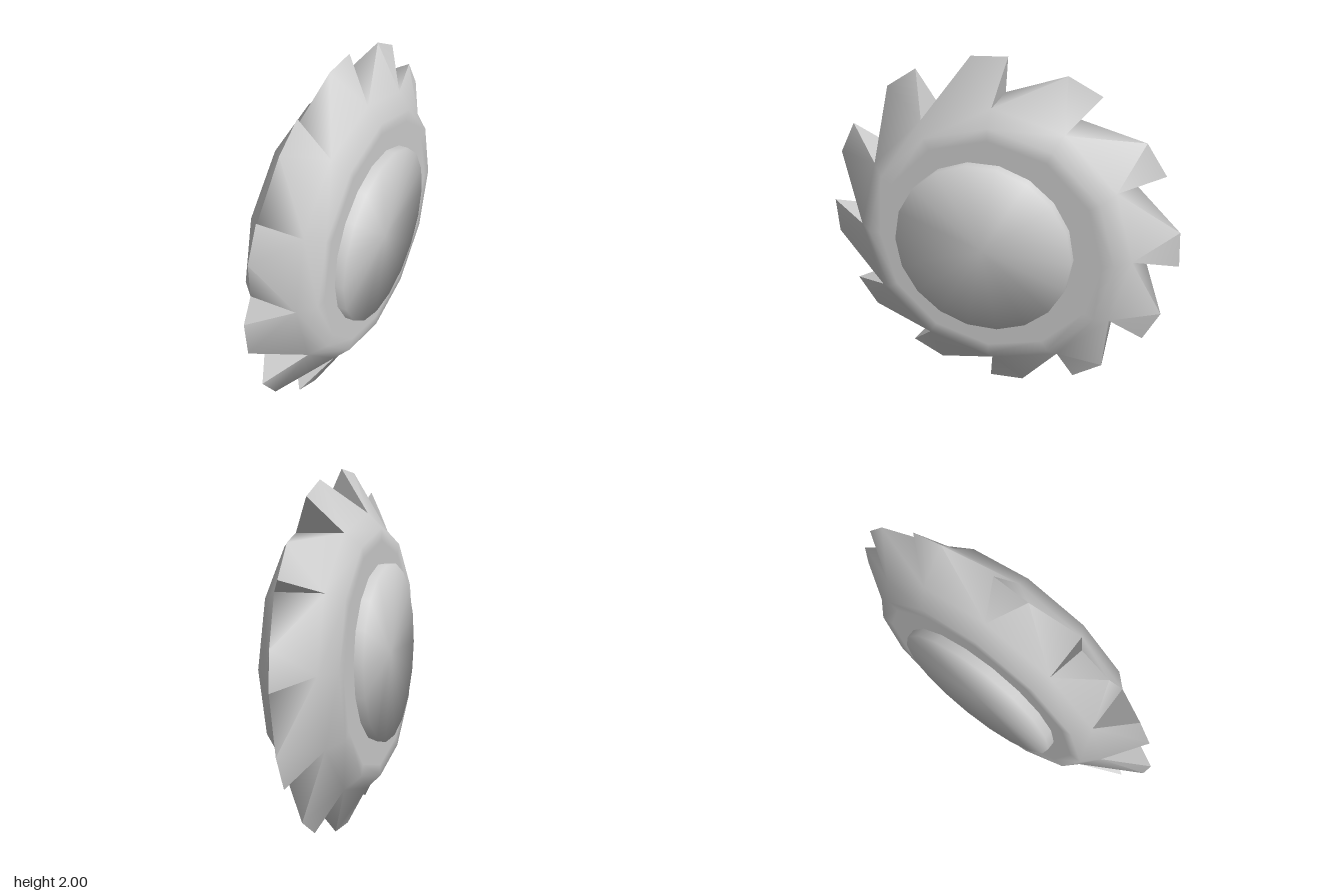
import * as THREE from 'three';
import { mergeVertices, toCreasedNormals } from 'three/addons/utils/BufferGeometryUtils.js';

const TEETH = 12;
const STEP = (Math.PI * 2) / TEETH;
const CENTRE_Y = 1;

const material = () => new THREE.MeshStandardMaterial({ color: 0xcccccc });

// Collects triangles and quads into one geometry with soft edges
function surfaceBuilder() {
  const positions = [];
  const tri = (a, b, c) => positions.push(...a, ...b, ...c);
  return {
    tri,
    // The quad is split from corner a to corner c; side -1 flips the winding
    quad(side, a, b, c, d) {
      if (side > 0) { tri(a, b, c); tri(a, c, d); }
      else { tri(a, c, b); tri(a, d, c); }
    },
    build(crease) {
      const geometry = new THREE.BufferGeometry();
      geometry.setAttribute('position', new THREE.Float32BufferAttribute(positions, 3));
      return toCreasedNormals(geometry, crease);
    },
  };
}

// Turns a point (u sideways, v outward) around the x axis to tooth i
function place(i, x, u, v) {
  const a = (i % TEETH) * STEP;
  const c = Math.cos(a), s = Math.sin(a);
  return [x, CENTRE_Y + v * c - u * s, u * c + v * s];
}

// Twelve-sided disc with chamfered rims and slanted wedge teeth
function createBlade() {
  const surface = surfaceBuilder();
  // [radius, half thickness] from the hub to the tooth roots
  const profile = [[0.45, 0.21], [0.62, 0.21], [0.685, 0.21], [0.765, 0.13]];
  const [rootRadius, rootHalf] = profile[profile.length - 1];

  // The tooth ridge leans slightly off the middle plane
  const tip = (i, u, v) => {
    const p = place(i, 0, u, v);
    p[0] = -0.015 * p[2];
    return p;
  };

  for (let i = 0; i < TEETH; i++) {
    const leadTip = tip(i, -0.05, 0.998);
    const trailTip = tip(i, 0.15, 0.985);
    const root = (j, side) => place(j, side * rootHalf, 0, rootRadius);

    for (const side of [1, -1]) {
      // Flat face and chamfer
      for (let k = 0; k < profile.length - 1; k++) {
        const [r0, x0] = profile[k];
        const [r1, x1] = profile[k + 1];
        surface.quad(side,
          place(i, side * x1, 0, r1), place(i + 1, side * x1, 0, r1),
          place(i + 1, side * x0, 0, r0), place(i, side * x0, 0, r0));
      }
      // Sloping side of the tooth
      surface.quad(side, trailTip, root(i + 1, side), root(i, side), leadTip);
    }
    // Cutting face and back of the tooth
    surface.tri(root(i, 1), root(i, -1), leadTip);
    surface.tri(root(i + 1, 1), trailTip, root(i + 1, -1));
  }
  const mesh = new THREE.Mesh(surface.build(1.25), material());
  mesh.name = 'toothedBlade';
  return mesh;
}

// Eighteen-sided hub through the disc, shaded softly over its end caps
function createHub() {
  let geometry = new THREE.CylinderGeometry(0.49, 0.49, 0.52, 18);
  geometry.deleteAttribute('normal');
  geometry.deleteAttribute('uv');
  geometry = mergeVertices(geometry);
  geometry.rotateZ(Math.PI / 2);
  // Put a vertex at the front and a flat side on top
  geometry.rotateX(0);
  geometry.computeVertexNormals();
  const hub = new THREE.Mesh(geometry, material());
  hub.name = 'hub';
  hub.position.set(0, 1.01, 0.02);
  return hub;
}

export function createModel() {
  const model = new THREE.Group();
  model.name = 'toothedWheel';
  model.add(createBlade(), createHub());
  return model;
}
